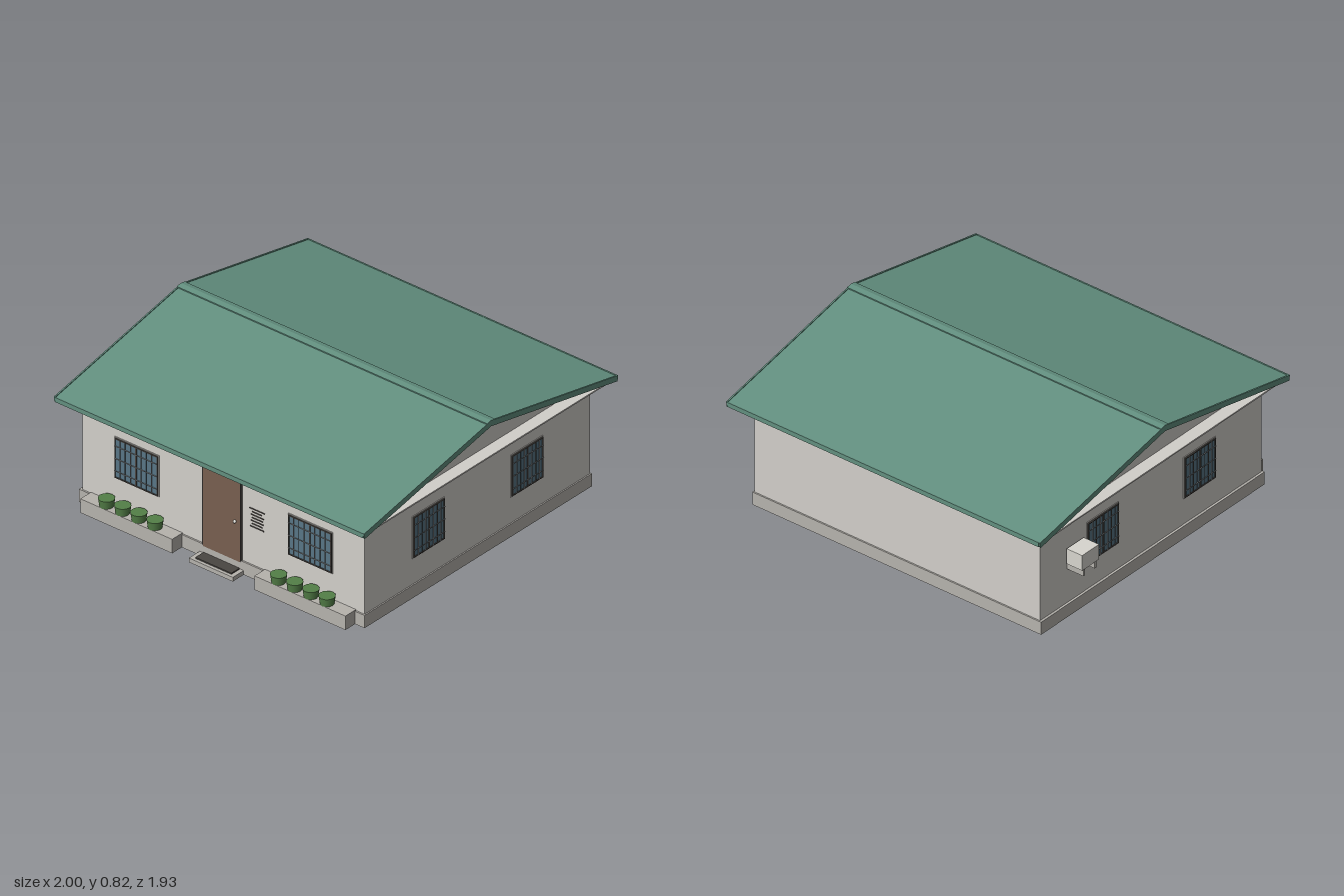
import * as THREE from 'three';

const mat = (name, color) => {
  const m = new THREE.MeshStandardMaterial({ color });
  m.name = name;
  return m;
};

export function createModel() {
  const wall = mat('wall plaster', 0xd2cfca);
  const stone = mat('plinth stone', 0xb6b3ad);
  const green = mat('roof green', 0x628f7f);
  const glass = mat('window glass', 0x587686);
  const dark = mat('dark frame', 0x4a4642);
  const bar = mat('grille grey', 0x8d9092);
  const wood = mat('door brown', 0x785f50);
  const leaf = mat('shrub green', 0x548048);
  const metal = mat('pale metal', 0xd8d6cf);

  const house = new THREE.Group();
  house.name = 'house';

  // Box given by its lower and upper limits
  const box = (name, m, x0, x1, y0, y1, z0, z1, parent = house) => {
    const mesh = new THREE.Mesh(new THREE.BoxGeometry(x1 - x0, y1 - y0, z1 - z0), m);
    mesh.position.set((x0 + x1) / 2, (y0 + y1) / 2, (z0 + z1) / 2);
    mesh.name = name;
    parent.add(mesh);
    return mesh;
  };

  // Cross-section of [z, y] points swept along x
  const sweep = (name, m, points, x0, x1) => {
    const shape = new THREE.Shape(points.map(([z, y]) => new THREE.Vector2(-z, y)));
    const geo = new THREE.ExtrudeGeometry(shape, { depth: x1 - x0, bevelEnabled: false });
    geo.rotateY(Math.PI / 2);
    geo.translate(x0, 0, 0);
    const mesh = new THREE.Mesh(geo, m);
    mesh.name = name;
    house.add(mesh);
  };

  // Walls, plinth, ceiling slab and gables
  box('plinth', stone, -0.905, 0.915, 0, 0.073, -0.86, 0.862);
  box('walls', wall, -0.892, 0.908, 0.073, 0.592, -0.852, 0.853);
  box('soffit', wall, -0.965, 0.98, 0.592, 0.6, -0.9, 0.9);
  sweep('gable', wall, [[-0.87, 0.6], [0.87, 0.6], [0, 0.783]], -0.892, 0.908);

  // Pitched roof, barge boards and ridge cap
  const gableBand = (lift, drop) => [
    [0, 0.811 + lift], [-0.962, 0.616 + lift], [-0.957, 0.592 - drop],
    [0, 0.786 - drop], [0.957, 0.592 - drop], [0.962, 0.616 + lift],
  ];
  sweep('roof', green, gableBand(0, 0), -0.974, 0.989);
  sweep('bargeBoard', green, gableBand(0.004, 0.003), -0.982, -0.974);
  sweep('bargeBoard', green, gableBand(0.004, 0.003), 0.989, 0.997);
  sweep('ridgeCap', green, [[0, 0.817], [-0.03, 0.811], [-0.03, 0.8], [0, 0.806], [0.03, 0.8], [0.03, 0.811]], -0.982, 0.997);
  for (const s of [-1, 1]) {
    box('eaveTrim', green, -0.974, 0.989, 0.593, 0.619, s * 0.959 - 0.004, s * 0.959 + 0.004);
  }

  // Barred window facing local +z, centred on its origin
  const addWindow = (w, h, x, y, z, turn) => {
    const g = new THREE.Group();
    g.name = 'window';
    const a = w / 2, b = h / 2;
    box('surround', stone, -a, a, -b, b, -0.002, 0.003, g);
    box('glass', glass, -a + 0.008, a - 0.008, -b + 0.008, b - 0.008, 0, 0.005, g);
    for (const s of [-1, 1]) {
      box('frameSide', dark, s * (a - 0.008) - 0.003, s * (a - 0.008) + 0.003, -b + 0.005, b - 0.005, 0, 0.009, g);
      box('frameRail', dark, -a + 0.005, a - 0.005, s * (b - 0.008) - 0.003, s * (b - 0.008) + 0.003, 0, 0.009, g);
    }
    box('mullion', dark, -0.004, 0.004, -b + 0.008, b - 0.008, 0, 0.009, g);
    for (let i = -3; i <= 3; i++) {
      const u = (i / 4) * (a - 0.008);
      if (i) box('grilleUpright', i % 2 ? bar : dark, u - 0.0015, u + 0.0015, -b + 0.008, b - 0.008, 0.009, 0.012, g);
    }
    for (let i = -1; i <= 1; i++) {
      const v = i * h * 0.3;
      box('grilleBar', bar, -a + 0.008, a - 0.008, v - 0.002, v + 0.002, 0.01, 0.013, g);
    }
    g.position.set(x, y, z);
    g.rotation.y = turn;
    house.add(g);
  };
  addWindow(0.285, 0.237, -0.542, 0.343, 0.854, 0);
  addWindow(0.285, 0.237, 0.565, 0.343, 0.854, 0);
  for (const z of [0.373, -0.373]) {
    addWindow(0.245, 0.24, 0.909, 0.343, z, Math.PI / 2);
    addWindow(0.245, 0.24, -0.893, 0.343, z, -Math.PI / 2);
  }

  // Front door with knob and studs
  box('door', wood, -0.112, 0.125, 0.065, 0.527, 0.85, 0.866);
  for (const x of [-0.115, 0.125]) box('doorJamb', dark, x, x + 0.004, 0.073, 0.53, 0.85, 0.868);
  box('doorHead', dark, -0.115, 0.129, 0.527, 0.531, 0.85, 0.868);
  const knob = new THREE.Mesh(new THREE.SphereGeometry(0.009, 12, 8), metal);
  knob.position.set(0.095, 0.29, 0.872);
  knob.name = 'doorKnob';
  house.add(knob);

  // Plate above the door and slatted panel beside it
  box('doorPlate', metal, -0.161, 0.172, 0.534, 0.578, 0.85, 0.862);
  box('plateStripe', green, -0.142, 0.158, 0.55, 0.564, 0.862, 0.865);
  [0.1, 0.062, 0.084, 0.07, 0.08, 0.066, 0.086].forEach((w, i) => {
    const y = 0.394 - i * 0.017;
    box('wallSlat', dark, 0.224 - w / 2, 0.224 + w / 2, y - 0.003, y + 0.003, 0.852, 0.856);
  });

  // Doorstep and mat
  box('doorstep', stone, -0.135, 0.145, 0, 0.024, 0.86, 0.945);
  box('doormat', dark, -0.108, 0.122, 0.024, 0.031, 0.866, 0.928);

  // Planters with clipped round shrubs
  const shrubGeo = new THREE.CylinderGeometry(0.043, 0.036, 0.046, 12);
  for (const [x0, x1, first] of [[-0.835, -0.25, -0.697], [0.275, 0.855, 0.4]]) {
    box('planter', stone, x0, x1, 0, 0.08, 0.855, 0.935);
    for (let i = 0; i < 4; i++) {
      const shrub = new THREE.Mesh(shrubGeo, leaf);
      shrub.position.set(first + i * 0.103, 0.102, 0.901);
      shrub.name = 'shrub';
      house.add(shrub);
    }
  }

  // Cooling unit on its brackets
  box('coolingUnit', metal, -1, -0.903, 0.312, 0.4, -0.66, -0.53);
  for (const z of [-0.645, -0.557]) {
    box('unitBracketArm', stone, -0.995, -0.89, 0.3, 0.312, z, z + 0.012);
    box('unitBracketLeg', stone, -0.995, -0.892, 0.27, 0.3, z, z + 0.012);
  }
  return house;
}
